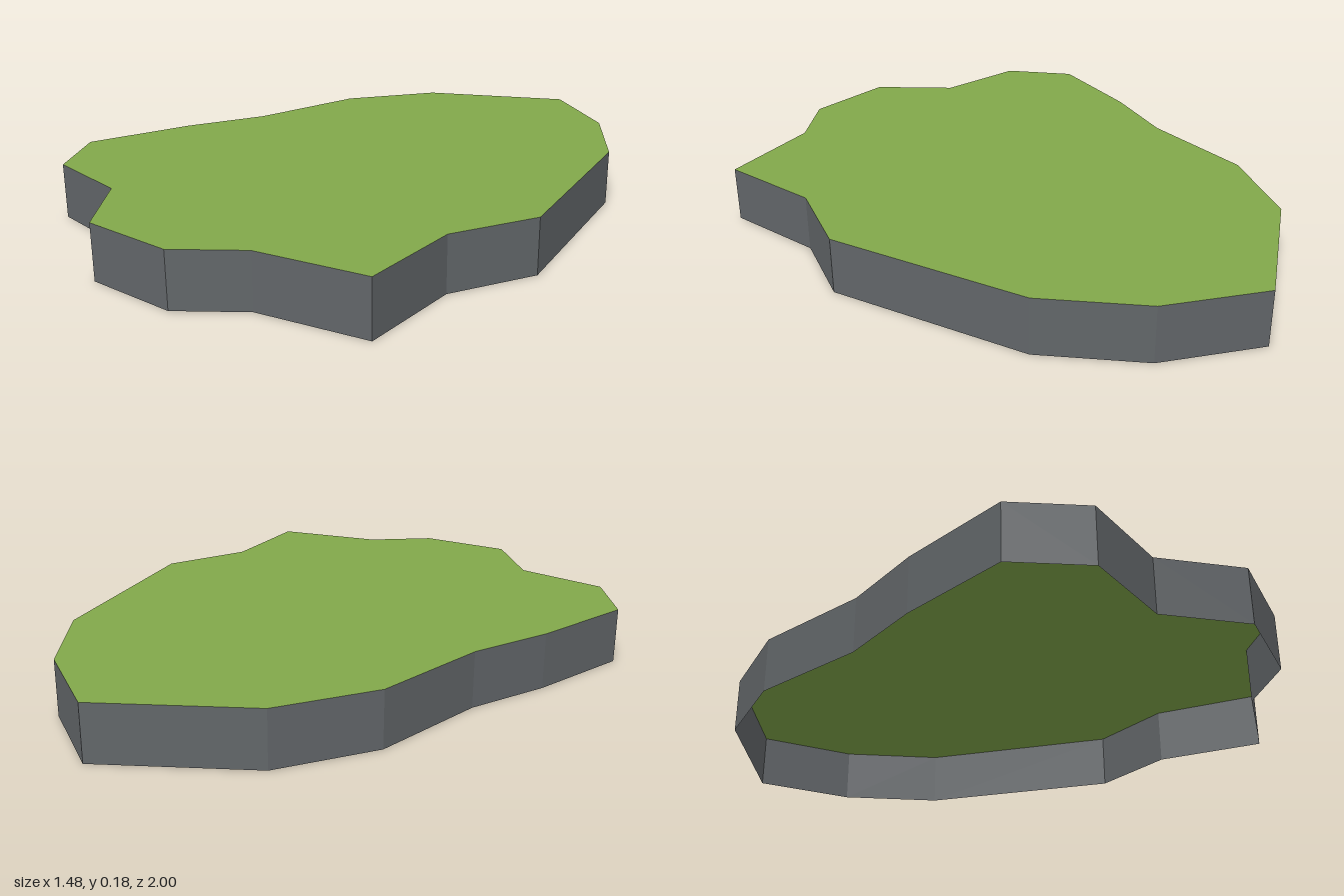
import * as THREE from 'three';

const HEIGHT = 0.18;

// Coastline as [x, z], starting at the back and running round by the left side
const OUTLINE = [
  [-0.11, -1], [0.2, -0.87], [0.445, -0.635], [0.715, -0.02],
  [0.645, 0.27], [0.735, 0.605], [0.405, 0.75], [0.255, 0.925],
  [-0.045, 0.995], [-0.265, 0.82], [-0.57, 0.84], [-0.74, 0.665],
  [-0.7, 0.305], [-0.635, 0.03], [-0.63, -0.37], [-0.495, -0.68],
];

// Ring of upright, unshared quads so every cliff face stays flat
function cliffGeometry() {
  const positions = [];
  OUTLINE.forEach(([ax, az], i) => {
    const [bx, bz] = OUTLINE[(i + 1) % OUTLINE.length];
    positions.push(
      ax, 0, az, ax, HEIGHT, az, bx, HEIGHT, bz,
      ax, 0, az, bx, HEIGHT, bz, bx, 0, bz,
    );
  });
  const geometry = new THREE.BufferGeometry();
  geometry.setAttribute('position', new THREE.Float32BufferAttribute(positions, 3));
  geometry.computeVertexNormals();
  return geometry;
}

export function createModel() {
  const grass = new THREE.MeshStandardMaterial({ color: 0x82a84a, side: THREE.DoubleSide });
  grass.name = 'grass green';
  const rock = new THREE.MeshStandardMaterial({ color: 0x626669, side: THREE.DoubleSide });
  rock.name = 'rock grey';

  const island = new THREE.Group();
  island.name = 'island';

  // Grassy plateau
  const shape = new THREE.Shape(OUTLINE.map(([x, z]) => new THREE.Vector2(x, -z)));
  const top = new THREE.Mesh(new THREE.ShapeGeometry(shape).rotateX(-Math.PI / 2), grass);
  top.name = 'grassTop';
  top.position.y = HEIGHT;

  // Rock walls, open underneath
  const cliffs = new THREE.Mesh(cliffGeometry(), rock);
  cliffs.name = 'cliffWalls';

  island.add(top, cliffs);
  return island;
}
